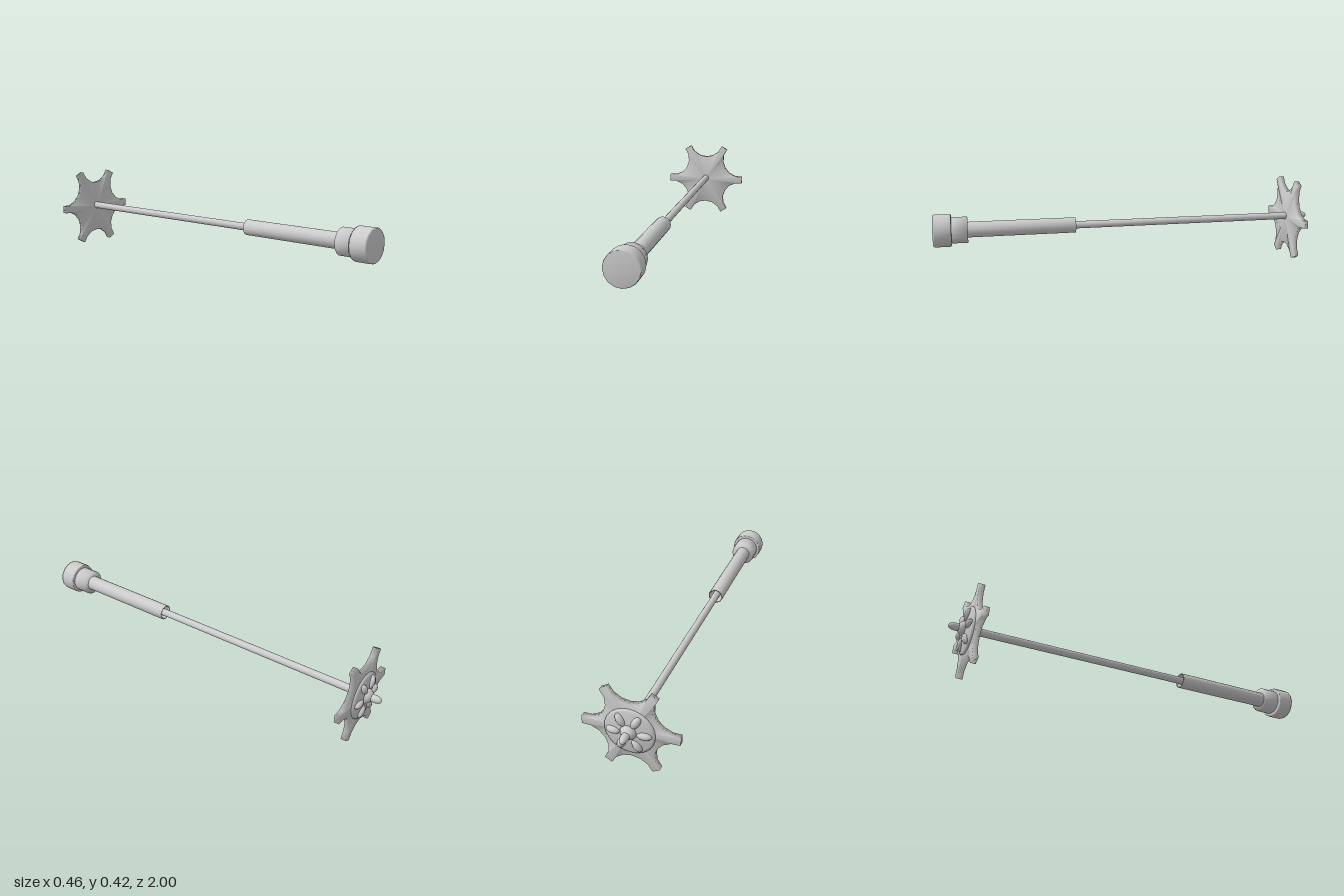
import * as THREE from 'three';
import { mergeVertices } from 'three/addons/utils/BufferGeometryUtils.js';

const AXIS_Y = 0.217;
const WHEEL_Y = 0.211;

// Join shared vertices so the shading runs smoothly over every edge
function smooth(geometry) {
  geometry.deleteAttribute('normal');
  geometry.deleteAttribute('uv');
  const merged = mergeVertices(geometry, 1e-5);
  merged.computeVertexNormals();
  return merged;
}

// Lathe around the z axis; profile is [radius, z] from back to front
function turned(profile, segments) {
  const points = profile.map(([r, z]) => new THREE.Vector2(r, z));
  return new THREE.LatheGeometry(points, segments).rotateX(Math.PI / 2);
}

// Six-armed plate: [degrees from arm centre, radius] repeated for each arm
function starPlate(zBack, zFront) {
  const arm = [
    [-15, 0.155], [-6.3, 0.19], [-4.97, 0.231],
    [4.97, 0.231], [6.3, 0.19], [15, 0.155], [30, 0.142],
  ];
  const count = arm.length * 6;
  const profile = [[0, zBack], [1, zBack], [1, zFront], [0, zFront]];
  const geometry = turned(profile, count);
  const pos = geometry.attributes.position;
  for (let i = 0; i <= count; i++) {
    const k = i % count;
    const [deg, radius] = arm[k % arm.length];
    const a = THREE.MathUtils.degToRad(Math.floor(k / arm.length) * 60 + deg);
    for (const j of [1, 2]) {
      const v = i * profile.length + j;
      pos.setXY(v, radius * Math.cos(a), radius * Math.sin(a));
    }
  }
  return smooth(geometry);
}

export function createModel() {
  const group = new THREE.Group();
  const material = new THREE.MeshStandardMaterial({ color: 0xcccccc });

  function add(name, geometry, y = AXIS_Y) {
    const mesh = new THREE.Mesh(geometry, material);
    mesh.name = name;
    mesh.position.y = y;
    group.add(mesh);
    return mesh;
  }

  // Rod with rounded tip
  add('rod', smooth(turned([
    [0, -1], [0.009, -0.997], [0.016, -0.987], [0.019, -0.97],
    [0.019, 0.34], [0, 0.34],
  ], 16)));

  // Handle sleeve, recessed where the rod enters
  add('handleSleeve', smooth(turned([
    [0, 0.315], [0.032, 0.315], [0.034, 0.285], [0.04, 0.285],
    [0.04, 0.84], [0, 0.84],
  ], 16)));

  // Stepped pommel
  add('pommelCollar', smooth(turned([
    [0, 0.83], [0.067, 0.83], [0.067, 0.92], [0, 0.92],
  ], 16)));
  add('pommelKnob', smooth(turned([
    [0, 0.91], [0.08, 0.91], [0.083, 0.917], [0.083, 0.992], [0.08, 1], [0, 1],
  ], 16)));

  // Six-armed plate
  add('starPlate', starPlate(-0.907, -0.88), WHEEL_Y);

  // Low rosette behind the plate: disc, raised petals and a hub
  add('rosetteDisc', smooth(turned([
    [0, -0.928], [0.05, -0.926], [0.105, -0.918], [0.119, -0.912],
    [0.119, -0.9], [0, -0.9],
  ], 24)), WHEEL_Y);
  const petals = new THREE.Group();
  petals.name = 'rosettePetals';
  petals.position.y = WHEEL_Y;
  for (let i = 0; i < 6; i++) {
    const a = (i * Math.PI) / 3;
    const petal = new THREE.Mesh(new THREE.SphereGeometry(1, 12, 8), material);
    petal.name = 'petal';
    petal.scale.set(0.036, 0.019, 0.02);
    petal.position.set(0.072 * Math.cos(a), 0.072 * Math.sin(a), -0.92);
    petal.rotation.z = a;
    petals.add(petal);
  }
  group.add(petals);
  add('rosetteHub', smooth(turned([
    [0, -0.955], [0.02, -0.952], [0.034, -0.937], [0.042, -0.918], [0, -0.918],
  ], 16)));

  return group;
}
